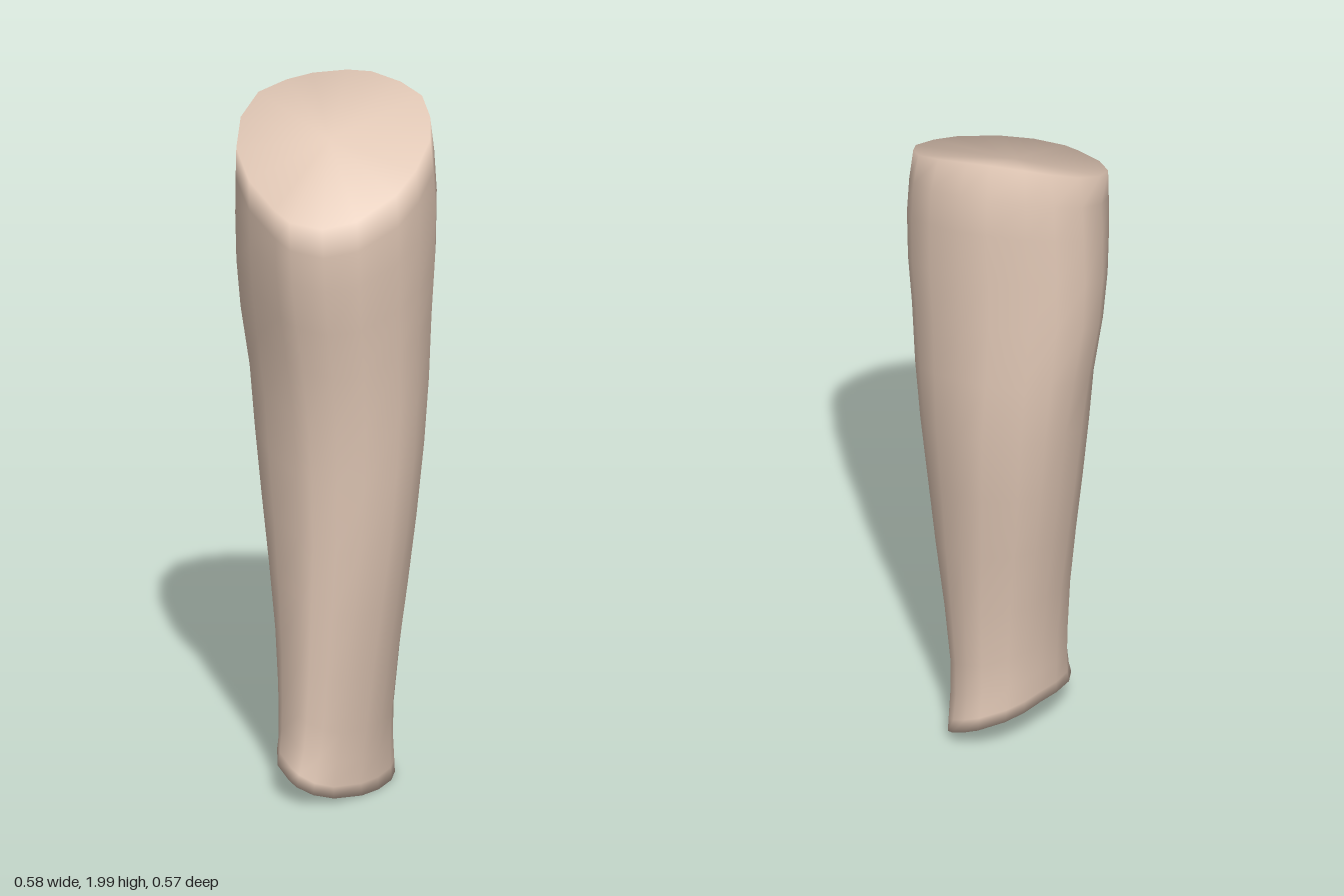
import * as THREE from 'three';

// Cross-section of the thick upper part, about one unit in radius, as [x, z]
const SECTION = [
  [-1, -0.03], [-0.9, -0.31], [-0.75, -0.54], [-0.46, -0.8], [-0.21, -0.94], [0.14, -1],
  [0.42, -0.97], [0.65, -0.81], [0.83, -0.59], [0.96, -0.21], [1, 0.14], [0.9, 0.61],
  [0.69, 0.88], [0.38, 1], [0.16, 0.97], [-0.28, 0.84], [-0.66, 0.61], [-0.9, 0.3],
];

// Silhouette by height: [y, x min, x max, z min, z max]
const PROFILE = [
  [0, -0.112, 0.14, -0.21, 0.2],
  [0.05, -0.112, 0.14, -0.207, 0.207],
  [0.15, -0.113, 0.146, -0.19, 0.18],
  [0.22, -0.117, 0.155, -0.184, 0.175],
  [0.4, -0.127, 0.178, -0.192, 0.176],
  [0.6, -0.16, 0.207, -0.21, 0.178],
  [0.8, -0.197, 0.235, -0.225, 0.181],
  [1, -0.228, 0.25, -0.25, 0.19],
  [1.2, -0.258, 0.262, -0.266, 0.205],
  [1.4, -0.29, 0.277, -0.271, 0.245],
  [1.55, -0.295, 0.29, -0.278, 0.274],
  [1.7, -0.291, 0.289, -0.284, 0.282],
  [1.85, -0.282, 0.272, -0.284, 0.282],
  [1.91, -0.276, 0.262, -0.28, 0.282],
  [1.96, -0.262, 0.248, -0.272, 0.28],
  [2, -0.23, 0.21, -0.245, 0.26],
];

// Rings along the limb, as fractions of the way from the lower to the upper end
const STEPS = [0, 0.02, 0.06, 0.11, 0.2, 0.31, 0.42, 0.53, 0.63, 0.73, 0.81, 0.89, 0.95, 1];

// Slanted planes that close the two ends
const bottomY = (x, z) => Math.max(0, 0.07 - 0.48 * x + 0.07 * z);
const topY = (x, z) => Math.min(2, 1.87 - 0.25 * x - 0.41 * z);

function extentsAt(y) {
  const k = Math.max(1, PROFILE.findIndex((row) => row[0] >= y));
  const [a, b] = [PROFILE[k - 1], PROFILE[k]];
  const f = (y - a[0]) / (b[0] - a[0]);
  return a.map((v, i) => THREE.MathUtils.lerp(v, b[i], f));
}

// Point of the wall; the section turns into a plain oval lower down
function wallPoint([sx, sz], t) {
  const low = bottomY(sx * 0.13, sz * 0.2);
  const high = topY(sx * 0.28, sz * 0.28);
  const y = THREE.MathUtils.lerp(low, high, t);
  const [, x0, x1, z0, z1] = extentsAt(y);
  const length = Math.hypot(sx, sz);
  const [cx, cz] = [sx / length, sz / length];
  const oval = 1 + 0.08 * Math.max(0, 2 * cx * cz);
  const blend = THREE.MathUtils.smoothstep(y, 0.9, 1.6);
  const ux = THREE.MathUtils.lerp(cx * oval, sx, blend);
  const uz = THREE.MathUtils.lerp(cz * oval, sz, blend);
  return [(x0 + x1) / 2 + (ux * (x1 - x0)) / 2, y, (z0 + z1) / 2 + (uz * (z1 - z0)) / 2];
}

function limbGeometry() {
  const n = SECTION.length;
  const positions = STEPS.flatMap((t) => SECTION.flatMap((s) => wallPoint(s, t)));
  const indices = [];

  // Tapered wall
  for (let r = 0; r < STEPS.length - 1; r++) {
    for (let i = 0; i < n; i++) {
      const a = r * n + i;
      const b = r * n + ((i + 1) % n);
      indices.push(a, a + n, b, b, a + n, b + n);
    }
  }

  // End caps share the rim vertices, so the rims shade softly
  const bottomCentre = STEPS.length * n;
  const topCentre = bottomCentre + 1;
  const lastRing = (STEPS.length - 1) * n;
  positions.push(0.012, bottomY(0.012, 0), 0, 0, topY(0, 0), 0);
  for (let i = 0; i < n; i++) {
    const j = (i + 1) % n;
    indices.push(bottomCentre, i, j);
    indices.push(topCentre, lastRing + j, lastRing + i);
  }

  const geometry = new THREE.BufferGeometry();
  geometry.setAttribute('position', new THREE.Float32BufferAttribute(positions, 3));
  geometry.setIndex(indices);
  geometry.computeVertexNormals();
  return geometry;
}

export function createModel() {
  const group = new THREE.Group();
  group.name = 'limbSegment';
  const skin = new THREE.MeshStandardMaterial({ color: 0xe0c7b5 });
  const limb = new THREE.Mesh(limbGeometry(), skin);
  limb.name = 'taperedLimb';
  group.add(limb);
  return group;
}
